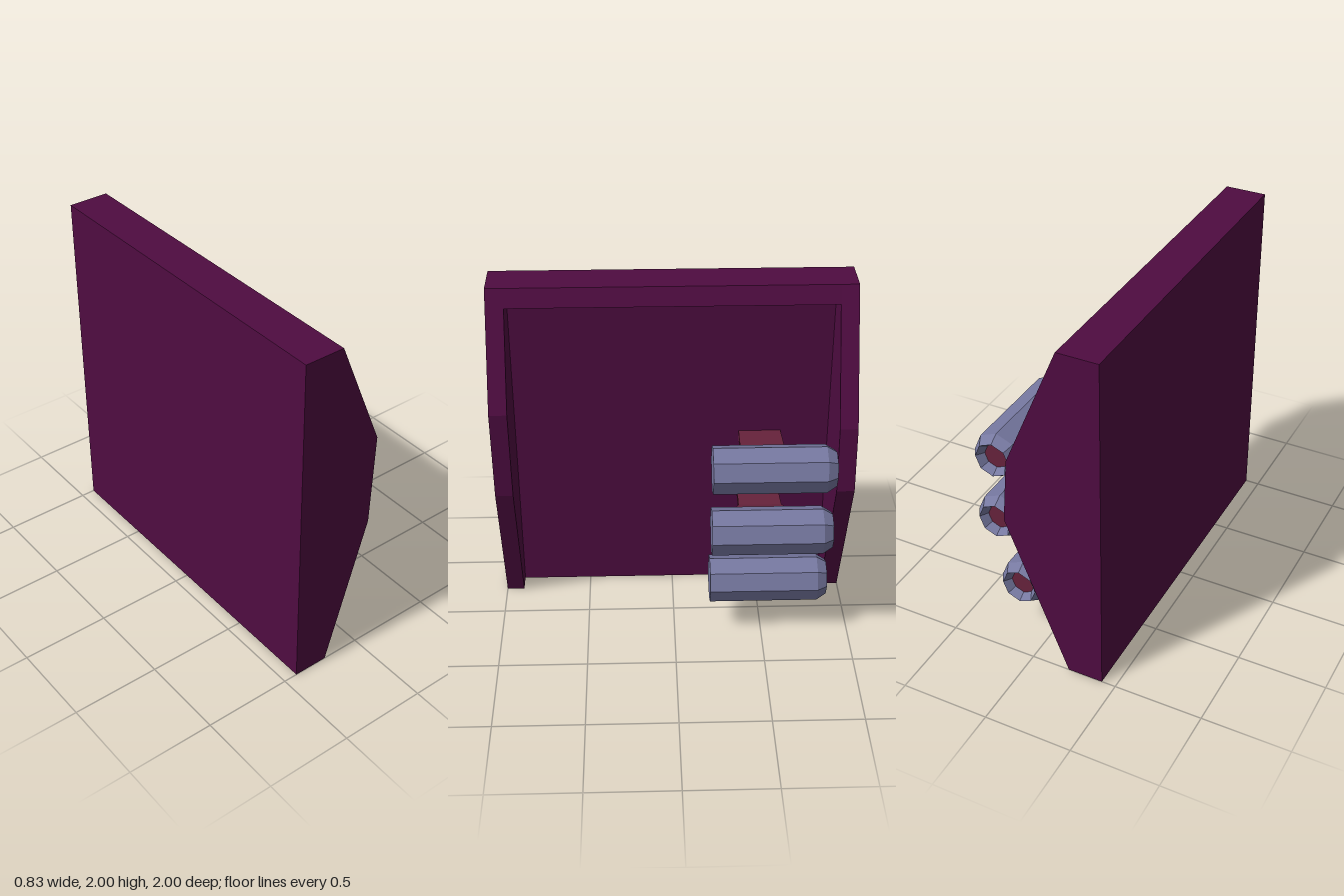
import * as THREE from 'three';

const mat = (name, color, opts = {}) => {
  const m = new THREE.MeshStandardMaterial({ color, flatShading: true, ...opts });
  m.name = name;
  return m;
};

export function createModel() {
  const purple = mat('deepPurple', 0x4f0c41);
  const steel = mat('blueGrey', 0x7678a0, { side: THREE.DoubleSide });
  const maroon = mat('maroon', 0x67233c);

  const group = new THREE.Group();
  const add = (name, geometry, material, parent = group) => {
    const mesh = new THREE.Mesh(geometry, material);
    mesh.name = name;
    parent.add(mesh);
    return mesh;
  };

  // Extrude an x-y outline from z0 to z1
  const slab = (points, z0, z1) => {
    const shape = new THREE.Shape(points.map(([x, y]) => new THREE.Vector2(x, y)));
    return new THREE.ExtrudeGeometry(shape, { depth: z1 - z0, bevelEnabled: false }).translate(0, 0, z0);
  };

  const back = -0.42, panelX = -0.33;

  // Flat back panel and the sloped header across the top
  add('backPanel', slab([[back, 0], [panelX, 0], [panelX, 1.9], [back, 1.9]], -0.9, 0.9), purple);
  add('header', slab([[back, 1.9], [-0.15, 1.9], [-0.19, 2], [back, 2]], -0.9, 0.9), purple);

  // Side walls: the rear one bulges further than the front one
  add('rearWall', slab([[back, 0], [-0.22, 0], [0.14, 0.9], [0.11, 1.28], [-0.19, 2], [back, 2]], -1, -0.9), purple);
  add('frontWall', slab([[back, 0], [-0.22, 0], [0.04, 0.84], [0.065, 1.37], [-0.19, 2], [back, 2]], 0.9, 1), purple);

  // Bracket: narrow flat root, then a rising, widening plate (relative to the tube axis)
  const bracketGeometry = (rootX) => {
    const stations = [[rootX, -0.162, 0.12], [-0.42, -0.15, 0.125], [-0.06, -0.04, 0.25]];
    const g = new THREE.BoxGeometry(2, 0.045, 2, 2, 1, 1);
    const p = g.attributes.position;
    for (let i = 0; i < p.count; i++) {
      const [x, y, half] = stations[Math.round(p.getX(i)) + 1];
      p.setXYZ(i, x, y + 0.022 + p.getY(i), half * p.getZ(i));
    }
    g.computeVertexNormals();
    return g;
  };

  // Eight-sided tube along -z with a chamfered, recessed mouth
  const tubeProfile = [[0, 0], [0.135, 0], [0.135, 0.61], [0.1, 0.665], [0.07, 0.62]]
    .map(([r, y]) => new THREE.Vector2(r, y));
  const tubeGeometry = new THREE.LatheGeometry(tubeProfile, 8).rotateX(-Math.PI / 2);
  const mouthGeometry = new THREE.CircleGeometry(0.072, 8).rotateY(Math.PI).translate(0, 0, -0.62);

  // Three tubes on brackets
  [[0.28, 1.14], [0.28, 0.742], [0.155, 0.332]].forEach(([x, y], i) => {
    const unit = new THREE.Group();
    unit.name = 'tubeUnit' + (i + 1);
    unit.position.set(x, y, -0.2);
    add('tube', tubeGeometry, steel, unit);
    add('tubeMouth', mouthGeometry, maroon, unit);
    add('bracket', bracketGeometry(panelX - 0.03 - x), maroon, unit).position.z = -0.305;
    group.add(unit);
  });

  return group;
}
